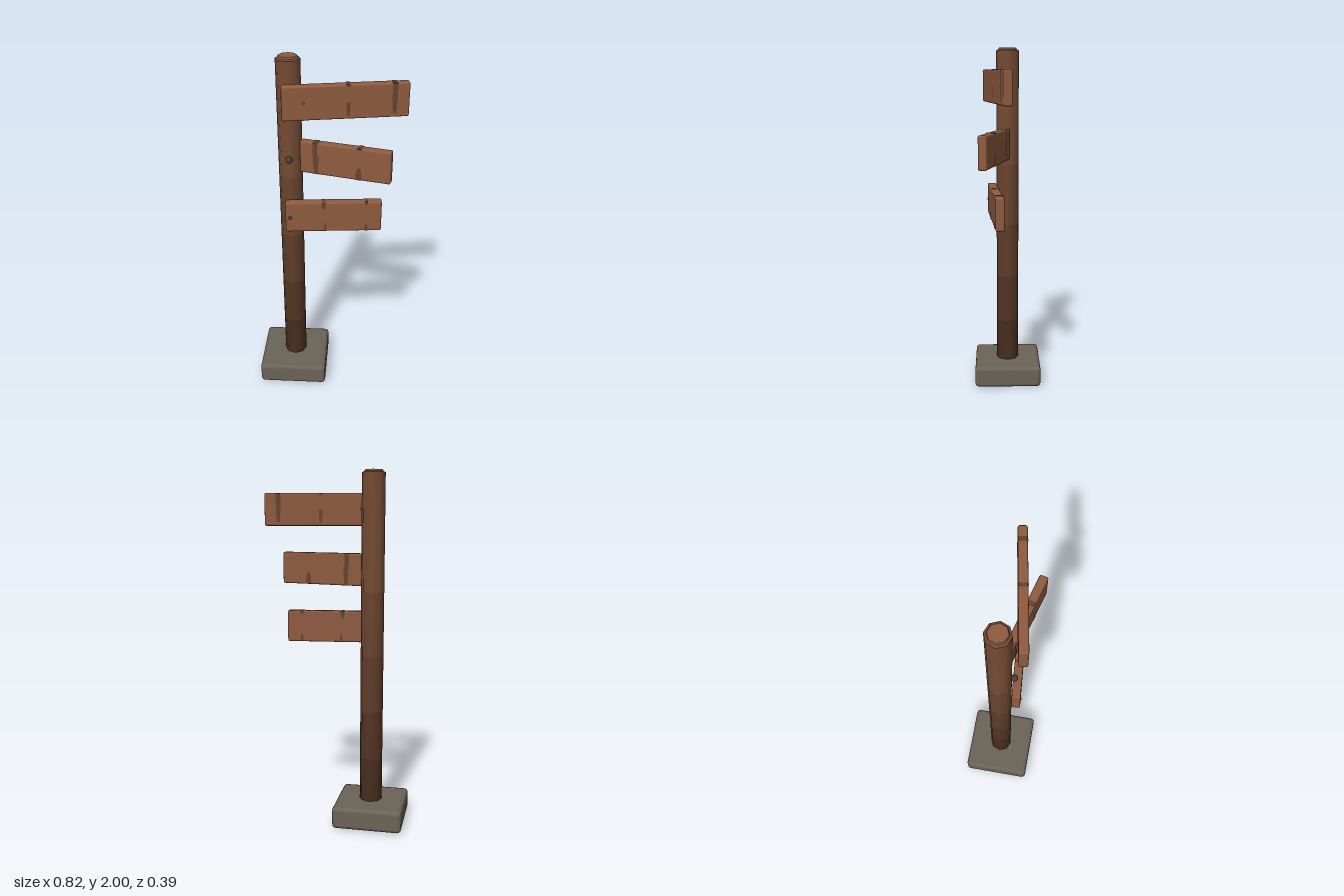
import * as THREE from 'three';
import { RoundedBoxGeometry } from 'three/addons/geometries/RoundedBoxGeometry.js';

const mat = (name, color, side = THREE.FrontSide) => {
  const m = new THREE.MeshStandardMaterial({ color, side });
  m.name = name;
  return m;
};

export function createModel() {
  const stone = mat('stone', 0x6b6357);
  const plank = mat('plank wood', 0x8f5b40);
  const stain = mat('wood stain', 0x66432f, THREE.DoubleSide);
  const iron = mat('nail iron', 0x45413d);
  // post wood, darker and damper towards the ground
  const postWood = [0x482e1f, 0x543524, 0x603d29, 0x6b452f, 0x764c34].map((c, i) => mat('post wood ' + (i + 1), c));

  const root = new THREE.Group();
  root.name = 'signpost';
  const add = (parent, name, geometry, material, x = 0, y = 0, z = 0) => {
    const mesh = new THREE.Mesh(geometry, material);
    mesh.name = name;
    mesh.position.set(x, y, z);
    parent.add(mesh);
    return mesh;
  };
  const px = -0.213;

  // foot block
  add(root, 'base', new RoundedBoxGeometry(0.394, 0.126, 0.394, 2, 0.022), stone, -0.216, 0.066, 0);
  add(root, 'baseUnderside', new THREE.BoxGeometry(0.34, 0.006, 0.34), stone, -0.216, 0.003, 0);

  // eight-sided post, in bands of wood tone
  const post = new THREE.Group();
  post.name = 'post';
  root.add(post);
  const levels = [0.1, 0.38, 0.66, 0.98, 1.34, 1.985];
  postWood.forEach((m, i) => {
    const h = levels[i + 1] - levels[i];
    add(post, 'postBand' + (i + 1), new THREE.CylinderGeometry(0.065, 0.065, h, 8, 1, true), m, px, levels[i] + h / 2, 0);
  });

  // stepped post top
  add(post, 'postShoulder', new THREE.CylinderGeometry(0.053, 0.065, 0.006, 8, 1, true), postWood[4], px, 1.988, 0);
  add(post, 'postCap', new THREE.CylinderGeometry(0.049, 0.053, 0.009, 8), plank, px, 1.9955, 0);

  // stains: [x along board, top, bottom, half width at top, half width at bottom, wraps over top]
  const signs = [
    { name: 'topSign', x: 0.083, y: 1.79, z: 0.063, length: 0.653, turn: 0.175,
      stains: [[0.25, 0.088, -0.07, 0.013, 0.009, true], [0.012, 0.0, -0.075, 0.009, 0.005, false],
        [0.012, 0.09, 0.08, 0.01, 0.008, true], [-0.215, 0.01, -0.008, 0.008, 0.003, false],
        [-0.225, -0.08, -0.088, 0.009, 0.009, false]] },
    { name: 'middleSign', x: 0.088, y: 1.46, z: 0.075, length: 0.5, turn: -0.262,
      stains: [[-0.163, 0.088, 0.0, 0.013, 0.012, true], [-0.158, 0.02, -0.088, 0.014, 0.009, false],
        [0.08, -0.02, -0.088, 0.007, 0.016, false], [0.08, 0.09, 0.08, 0.013, 0.01, true]] },
    { name: 'bottomSign', x: 0.024, y: 1.13, z: 0.07, length: 0.528, turn: 0.087,
      stains: [[-0.054, 0.088, 0.045, 0.01, 0.004, true], [-0.046, -0.04, -0.088, 0.003, 0.007, false],
        [0.18, 0.088, 0.07, 0.008, 0.005, true], [0.18, -0.045, -0.088, 0.004, 0.008, false]] },
  ];
  const H = 0.18, T = 0.048, R = 0.009;

  for (const s of signs) {
    const sign = new THREE.Group();
    sign.name = s.name;
    sign.position.set(s.x, s.y, s.z);
    sign.rotation.y = s.turn;
    root.add(sign);
    add(sign, 'board', new RoundedBoxGeometry(s.length, H, T, 2, R), plank);

    // weather stains on both faces, some crossing the top edge
    for (const [x, top, bottom, a, b, wraps] of s.stains) {
      const mid = (top + bottom) / 2, w = Math.max(a, b) * 1.15;
      const shape = new THREE.Shape([[-a, top], [-w, mid], [-b, bottom], [b, bottom], [w * 0.8, mid], [a, top]]
        .map(([u, v]) => new THREE.Vector2(u, v)));
      for (const side of [1, -1]) {
        add(sign, 'faceStain', new THREE.ShapeGeometry(shape), stain, x, 0, side * (T / 2 + 0.001));
      }
      if (wraps) add(sign, 'edgeStain', new THREE.BoxGeometry(a * 2, 0.002, T - R), stain, x, H / 2, 0);
    }
  }

  // round nail heads
  const nail = (r, y, z) => add(root, 'nail', new THREE.SphereGeometry(r, 10, 8), iron, px, y, z);
  nail(0.019, 1.46, 0.078);
  nail(0.014, 1.13, 0.106);

  return root;
}
